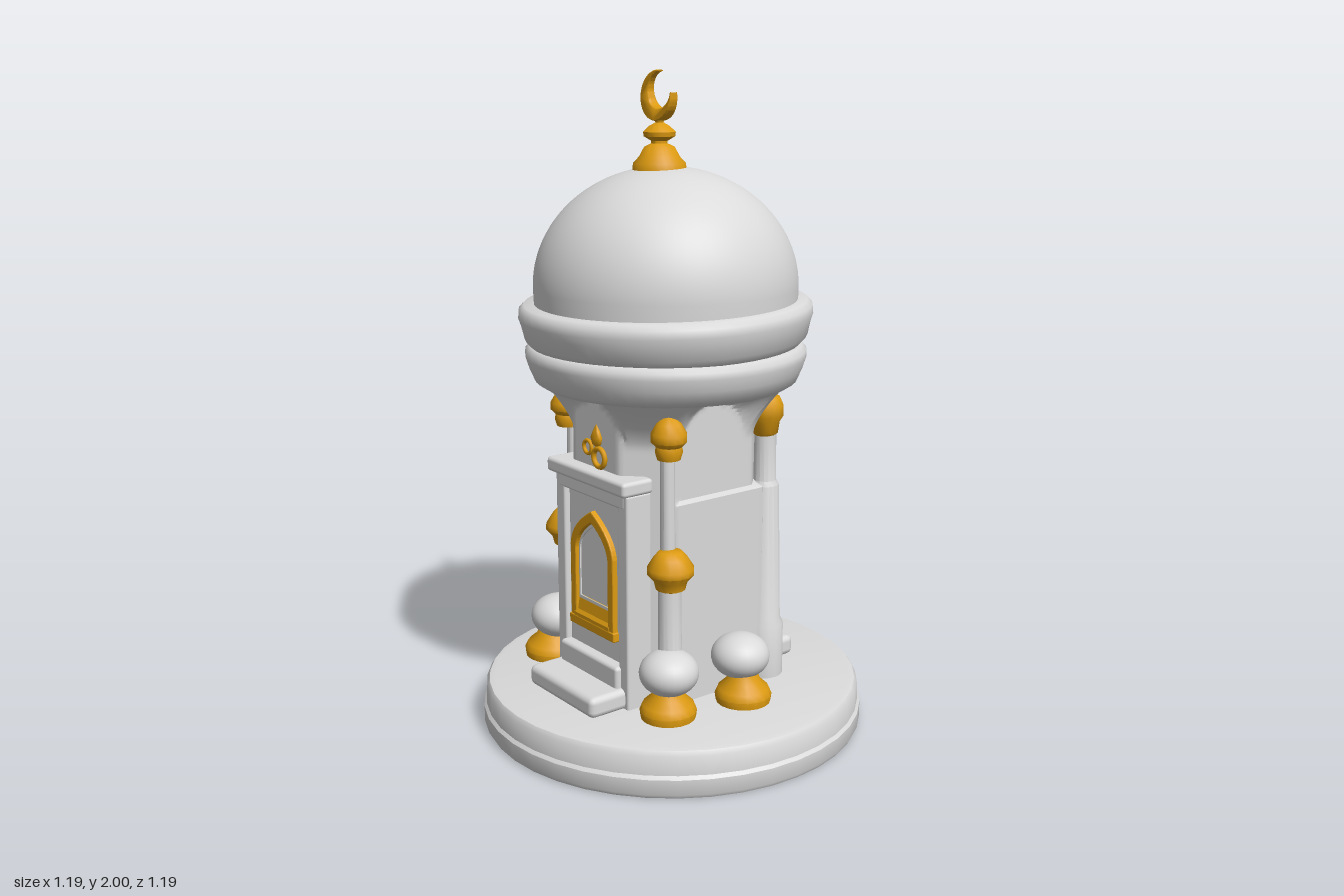
import * as THREE from 'three';
import { toCreasedNormals } from 'three/addons/utils/BufferGeometryUtils.js';
import { RoundedBoxGeometry } from 'three/addons/geometries/RoundedBoxGeometry.js';

const stone = new THREE.MeshStandardMaterial({ color: 0xdadada });
stone.name = 'pale stone';
const gold = new THREE.MeshStandardMaterial({ color: 0xdc9a10 });
gold.name = 'gold';

function add(parent, name, geo, mat, x = 0, y = 0, z = 0) {
  const m = new THREE.Mesh(geo, mat);
  m.name = name;
  m.position.set(x, y, z);
  parent.add(m);
  return m;
}

function addGroup(parent, name, x, y, z) {
  const g = new THREE.Group();
  g.name = name;
  g.position.set(x, y, z);
  parent.add(g);
  return g;
}

// profile points are [radius, height], listed from the bottom up
function lathe(points, segments = 24, crease = 0.6) {
  const g = new THREE.LatheGeometry(points.map(p => new THREE.Vector2(p[0], p[1])), segments);
  return toCreasedNormals(g, crease);
}

function box(w, h, d, r = 0.008) {
  return new RoundedBoxGeometry(w, h, d, 2, r);
}

// pointed arch outline
function archOutline(target, w, bottom, spring, top) {
  target.moveTo(-w, bottom);
  target.lineTo(w, bottom);
  target.lineTo(w, spring);
  target.quadraticCurveTo(w * 0.92, spring + (top - spring) * 0.55, 0, top);
  target.quadraticCurveTo(-w * 0.92, spring + (top - spring) * 0.55, -w, spring);
  target.closePath();
  return target;
}

function extrude(shape, depth, bevel = 0.004) {
  return new THREE.ExtrudeGeometry(shape, {
    depth, curveSegments: 10, bevelEnabled: bevel > 0, bevelSize: bevel, bevelThickness: bevel, bevelSegments: 2,
  });
}

// chamfered shaft, thicker low down, whose top spreads into a round collar around four arches
function shaftGeometry() {
  const g = new THREE.CylinderGeometry(1, 1, 0.99, 160, 80, true);
  g.translate(0, 0.615, 0);
  const p = g.attributes.position;
  const hx = 0.232, hz = 0.264, quarter = Math.PI / 2;
  for (let i = 0; i < p.count; i++) {
    const y = p.getY(i), angle = Math.atan2(p.getZ(i), p.getX(i));
    const c = Math.abs(Math.cos(angle)), s = Math.abs(Math.sin(angle)), low = y < 0.775;
    const side = (hx + (low ? 0.008 : 0)) / Math.max(c, 1e-6);
    const chamfer = low && angle < 0 ? 0.07 : 0.115;
    const wall = Math.min(side, hz / Math.max(s, 1e-6), (hx + hz - chamfer) / (c + s));
    const u = Math.min(1, Math.abs(angle - Math.round(angle / quarter) * quarter) / 0.48);
    const start = 0.93 + 0.12 * Math.sqrt(1 - u * u);
    const t = Math.max(0, (y - start) / (1.11 - start));
    const r = THREE.MathUtils.lerp(wall, 0.395, Math.pow(t, 1.5));
    p.setXYZ(i, r * Math.cos(angle), y, r * Math.sin(angle));
  }
  return toCreasedNormals(g, 0.5);
}

// crescent, thinner towards its top
function crescentGeometry() {
  const rad = THREE.MathUtils.degToRad, s = new THREE.Shape();
  s.absarc(0, 0, 0.07, rad(81), rad(369), false);
  s.absarc(0.0156, 0.0156, 0.0548, rad(-4.6), rad(-265.4), true);
  const g = new THREE.ExtrudeGeometry(s, {
    depth: 0.01, curveSegments: 28, bevelEnabled: true, bevelSize: 0.003, bevelThickness: 0.008, bevelSegments: 3,
  });
  g.translate(0, 0, -0.005);
  const p = g.attributes.position;
  for (let i = 0; i < p.count; i++) p.setZ(i, p.getZ(i) * (1.05 - 6 * p.getY(i)));
  return toCreasedNormals(g, 0.8);
}

export function createModel() {
  const model = new THREE.Group();
  model.name = 'domedTower';

  // round plinth, hollow underneath
  add(model, 'plinth', lathe([[0, 0.1], [0.565, 0.1], [0.575, 0.005], [0.59, 0], [0.597, 0.012], [0.597, 0.058],
    [0.589, 0.068], [0.587, 0.125], [0.578, 0.139], [0.56, 0.143], [0, 0.143]], 40), stone);

  const tower = addGroup(model, 'tower', -0.006, 0, 0.018);
  add(tower, 'shaft', shaftGeometry(), stone);

  // rings and dome
  add(tower, 'lowerRing', lathe([[0.3, 1.085], [0.375, 1.08], [0.398, 1.095], [0.413, 1.13], [0.424, 1.165],
    [0.424, 1.185], [0.41, 1.2], [0.37, 1.203]], 48, 0.9), stone);
  add(tower, 'ringNeck', lathe([[0.39, 1.15], [0.39, 1.28]], 48), stone);
  const upper = add(tower, 'upperRing', lathe([[0.34, -0.065], [0.405, -0.062], [0.425, -0.04], [0.434, 0],
    [0.442, 0.025], [0.44, 0.05], [0.425, 0.064], [0.36, 0.068]], 48, 0.9), stone, 0, 1.265, 0);
  upper.rotation.x = 0.025;
  const dome = [[0.393, 1.28]];
  for (let i = 0; i <= 24; i++) {
    const a = (i / 24) * Math.PI / 2;
    dome.push([Math.max(0, 0.397 * Math.cos(a)), 1.37 + 0.355 * Math.sin(a)]);
  }
  add(tower, 'dome', lathe(dome, 64, 1), stone);

  // finial with crescent
  const finial = addGroup(tower, 'finial', -0.004, 0, 0.02);
  add(finial, 'finialStem', lathe([[0.08, 1.705], [0.078, 1.733], [0.06, 1.752], [0.045, 1.78], [0.024, 1.79],
    [0.024, 1.797], [0.046, 1.81], [0.048, 1.823], [0.03, 1.84], [0.012, 1.85], [0.016, 1.862], [0.008, 1.88],
    [0, 1.88]], 28, 0.8), gold);
  add(finial, 'crescent', crescentGeometry(), gold, -0.003, 1.927, 0);

  for (const side of [-1, 1]) {
    // front corner columns: thick lower shaft, slender upper shaft set further in
    const front = addGroup(tower, 'frontColumn', side < 0 ? -0.26 : 0.256, 0, 0.184);
    add(front, 'lowerShaft', lathe([[0.05, 0.14], [0.05, 0.17], [0.037, 0.19], [0.034, 0.55]], 16), stone);
    add(front, 'upperShaft', lathe([[0.023, 0.58], [0.021, 0.94]], 16), stone, side * -0.018, 0, -0.006);
    add(front, 'middleCollar', lathe([[0.03, 0.522], [0.044, 0.528], [0.05, 0.552], [0.07, 0.575], [0.07, 0.592],
      [0.05, 0.624], [0.034, 0.642], [0, 0.645]], 14, 0.8), gold, side * (side < 0 ? 0.014 : 0.004), 0, 0);
    add(front, 'capital', lathe([[0, 0.912], [0.034, 0.917], [0.041, 0.94], [0.038, 0.955], [0.053, 0.97],
      [0.053, 0.993], [0.036, 1.022], [0.012, 1.048], [0, 1.05]], 14, 0.8), gold, 0, 0, 0.003);

    // back corner columns
    const back = addGroup(tower, 'backColumn', side * 0.205, 0, -0.225);
    add(back, 'columnShaft', lathe([[0.064, 0.14], [0.064, 0.31], [0.054, 0.33], [0.044, 0.76], [0.035, 0.775],
      [0.033, 0.94]], 16), stone);
    add(back, 'capital', lathe([[0.03, 0.915], [0.04, 0.925], [0.045, 0.96], [0.056, 0.978], [0.056, 1.01],
      [0.045, 1.035], [0.02, 1.05], [0, 1.052]], 14, 0.8), gold, 0, 0, 0.002);

    // portal pilasters
    add(tower, 'pilaster', box(0.048, 0.67, 0.09), stone, side * 0.161, 0.47, 0.24);
  }

  // ball ornaments on golden feet: x, z, foot shift in x, foot scale
  for (const [x, z, shift, s] of [[-0.304, 0.205, -0.018, 0.97], [-0.316, -0.045, -0.004, 0.87],
    [0.279, 0.205, 0.004, 0.85], [0.308, -0.045, 0.022, 0.86]]) {
    const ball = addGroup(tower, 'ballOrnament', x, 0, z);
    const foot = add(ball, 'ballFoot', lathe([[0.096, 0.14], [0.1, 0.165], [0.09, 0.185], [0.062, 0.207],
      [0.048, 0.235]], 18, 0.7), gold, shift, 0, 0.006);
    foot.scale.set(s, 1, s);
    add(ball, 'ball', new THREE.SphereGeometry(0.089, 28, 20), stone, 0, 0.278, 0).scale.y = 0.77;
  }

  // front portal
  add(tower, 'portalPanel', box(0.28, 0.67, 0.06), stone, 0, 0.47, 0.238);
  add(tower, 'portalLintel', box(0.345, 0.05, 0.09), stone, 0, 0.785, 0.241);
  add(tower, 'portalCornice', box(0.4, 0.045, 0.11, 0.012), stone, 0.002, 0.828, 0.255);
  add(tower, 'upperStep', box(0.3, 0.13, 0.09, 0.012), stone, 0, 0.205, 0.258);
  add(tower, 'lowerStep', box(0.34, 0.065, 0.17, 0.02), stone, 0, 0.172, 0.322);
  add(tower, 'backStep', box(0.32, 0.065, 0.16, 0.02), stone, 0, 0.172, -0.322);

  // front window: frame, sloping sill, ledge and inner moulding
  const frame = archOutline(new THREE.Shape(), 0.107, 0.34, 0.59, 0.712);
  frame.holes.push(archOutline(new THREE.Path(), 0.086, 0.365, 0.585, 0.684));
  add(tower, 'frontWindowFrame', extrude(frame, 0.016), gold, 0, 0, 0.265);
  const sill = new THREE.Shape([[0, 0.35], [0.022, 0.35], [0.022, 0.375], [0.014, 0.385], [0.006, 0.43], [0, 0.43]]
    .map(p => new THREE.Vector2(...p)));
  const sillGeo = extrude(sill, 0.18, 0);
  sillGeo.rotateY(-Math.PI / 2);
  add(tower, 'frontWindowSill', sillGeo, gold, 0.09, 0, 0.265);
  add(tower, 'frontWindowLedge', box(0.232, 0.03, 0.028, 0.004), gold, 0, 0.35, 0.274);
  const moulding = archOutline(new THREE.Shape(), 0.084, 0.42, 0.585, 0.682);
  moulding.holes.push(archOutline(new THREE.Path(), 0.076, 0.43, 0.583, 0.668));
  add(tower, 'frontWindowMoulding', extrude(moulding, 0.008, 0), stone, 0, 0, 0.265);

  // back window: stone arch with gilded lower part
  const backWindow = addGroup(tower, 'backWindow', 0, 0, -0.262);
  backWindow.rotation.y = Math.PI;
  const arch = archOutline(new THREE.Shape(), 0.106, 0.34, 0.59, 0.712);
  arch.holes.push(archOutline(new THREE.Path(), 0.086, 0.37, 0.585, 0.685));
  add(backWindow, 'backWindowArch', extrude(arch, 0.01), stone);
  add(backWindow, 'backWindowSill', box(0.226, 0.042, 0.042, 0.005), gold, 0, 0.358, 0);
  for (const [x, height] of [[-0.097, 0.09], [0.097, 0.14]]) {
    add(backWindow, 'backWindowJamb', box(0.03, height, 0.036, 0.004), gold, x, 0.36 + height / 2, 0);
  }

  // small scroll ornament over the portal
  const ornament = addGroup(tower, 'scrollOrnament', 0.012, 0, 0.27);
  add(ornament, 'largeLoop', new THREE.TorusGeometry(0.028, 0.008, 8, 24), gold, 0.016, 0.886, 0);
  add(ornament, 'smallLoop', new THREE.TorusGeometry(0.02, 0.006, 8, 20), gold, -0.042, 0.908, 0);
  add(ornament, 'bud', lathe([[0, -0.03], [0.019, -0.02], [0.025, 0], [0.015, 0.02], [0, 0.042]], 14, 1),
    gold, 0.003, 0.945, 0).scale.z = 0.5;

  return model;
}
